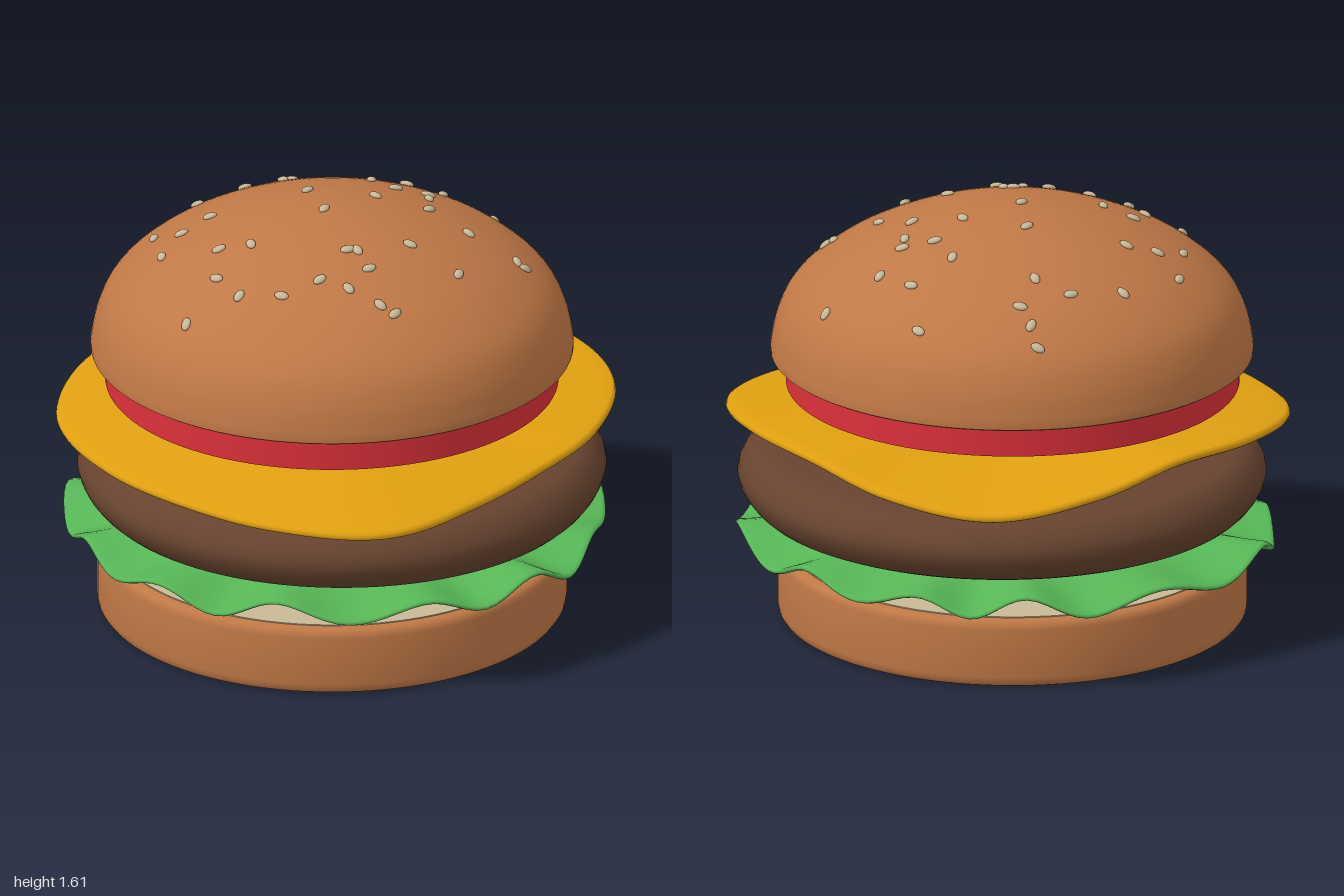
import * as THREE from 'three';
import { mergeVertices, toCreasedNormals } from 'three/addons/utils/BufferGeometryUtils.js';

const flat = (name, color) => {
  const m = new THREE.MeshStandardMaterial({ color });
  m.name = name;
  return m;
};

export function createModel() {
  const model = new THREE.Group();
  model.name = 'burger';
  const bun = flat('toasted bun', 0xc07846);
  const cream = flat('cream crumb and seeds', 0xc8b896);
  const green = flat('lettuce green', 0x56b656);
  const brown = flat('grilled brown', 0x67432f);
  const yellow = flat('cheese yellow', 0xe0a010);
  const red = flat('tomato red', 0xdc303a);

  const add = (name, geometry, material, x = 0, y = 0, z = 0) => {
    const mesh = new THREE.Mesh(geometry, material);
    mesh.name = name;
    mesh.position.set(x, y, z);
    model.add(mesh);
    return mesh;
  };
  const vectors = (list) => list.map(([r, y]) => new THREE.Vector2(r, y));
  const turned = (points) => toCreasedNormals(new THREE.LatheGeometry(points, 96), 0.8);

  // Thin round sheet whose rim and height follow rule(angle, u) -> [radius, y]
  const sheet = (thickness, rule) => {
    const t = thickness / 2;
    const steps = [];
    for (let i = 0; i <= 20; i++) steps.push(i / 20 * 0.985);
    const profile = vectors([
      ...steps.map((u) => [u, -t]), [0.996, -t * 0.6], [1, 0], [0.996, t * 0.6],
      ...steps.reverse().map((u) => [u, t]),
    ]);
    let geo = new THREE.LatheGeometry(profile, 160);
    const p = geo.attributes.position;
    for (let i = 0; i < p.count; i++) {
      const x = p.getX(i), z = p.getZ(i);
      const u = Math.hypot(x, z);
      const angle = u < 1e-6 ? 0 : (Math.atan2(z, x) + Math.PI * 2) % (Math.PI * 2);
      const [radius, y] = rule(angle, u);
      p.setXYZ(i, x * radius, p.getY(i) + y, z * radius);
    }
    geo.deleteAttribute('uv');
    geo.deleteAttribute('normal');
    geo = mergeVertices(geo, 1e-5);
    geo.computeVertexNormals();
    return geo;
  };

  // Bottom bun with its cut face
  add('bottomBun', turned(vectors([
    [0, 0], [0.845, 0], [0.858, 0.006], [0.867, 0.02], [0.87, 0.04],
    [0.87, 0.225], [0.867, 0.242], [0.858, 0.254], [0.845, 0.26], [0, 0.26],
  ])), bun, -0.02, 0, 0.025);
  add('bottomBunCrumb', new THREE.CylinderGeometry(0.825, 0.825, 0.006, 96), cream, -0.02, 0.261, 0.025);

  // Lettuce, flat in the middle and ruffled towards the rim
  add('lettuce', sheet(0.022, (a, u) => {
    const ruffle = -Math.cos(12 * a - 4.4 + 0.5 * Math.sin(3 * a)) * (0.75 + 0.25 * Math.sin(5 * a + 1));
    const f = THREE.MathUtils.smoothstep(u, 0.55, 1);
    const radius = 0.965 + 0.035 * Math.cos(2 * a - 5.2) + 0.015 * Math.cos(7 * a);
    return [radius, 0.388 + f * (-0.052 + 0.045 * ruffle)];
  }), green, -0.02, 0, 0);

  // Patty
  add('patty', turned(vectors([
    [0, 0.43], [0.85, 0.43], [0.885, 0.434], [0.912, 0.446], [0.936, 0.467], [0.958, 0.495],
    [0.973, 0.525], [0.98, 0.555], [0.973, 0.585], [0.958, 0.612], [0.936, 0.638],
    [0.912, 0.656], [0.885, 0.666], [0.85, 0.67], [0, 0.67],
  ])), brown, 0, 0, -0.01);

  // Cheese slice: rounded square, two corners drooping
  const rims = [0.9, 0.95, 1.08, 1.04, 1, 1.02, 1.06, 1.01, 0.955, 1, 1.05, 1.01, 0.965, 1, 1.03, 0.97];
  const drops = [0.74, 0.73, 0.725, 0.73, 0.74, 0.755, 0.785, 0.815, 0.825, 0.77, 0.725, 0.76, 0.815, 0.83, 0.805, 0.77];
  const rim = new THREE.CatmullRomCurve3(
    rims.map((r, i) => new THREE.Vector3(r, drops[i], 0)), true, 'catmullrom', 0.5);
  add('cheese', sheet(0.035, (a, u) => {
    const edge = rim.getPoint(a / (Math.PI * 2));
    const f = Math.pow(u, 1.3);
    return [edge.x, 0.845 + f * (edge.y - 0.845)];
  }), yellow);

  // Tomato slice
  add('tomato', new THREE.CylinderGeometry(0.84, 0.84, 0.12, 96), red, -0.02, 0.96, 0.025);

  // Top bun dome
  const dome = new THREE.SplineCurve(vectors([
    [0.895, 1.05], [0.875, 1.15], [0.83, 1.25], [0.75, 1.335], [0.62, 1.425],
    [0.42, 1.515], [0.2, 1.573], [0, 1.595],
  ])).getPoints(36);
  const cx = -0.025, cz = 0.017;
  add('topBun', turned([...vectors([[0, 1.02], [0.885, 1.02], [0.894, 1.026]]), ...dome]), bun, cx, 0, cz);

  const domeHeight = (r) => {
    const i = Math.max(1, dome.findIndex((p) => p.x <= r));
    const a = dome[i - 1], b = dome[i];
    return a.y + (b.y - a.y) * (a.x - r) / (a.x - b.x);
  };

  // Sesame seeds lying on the dome, as x, z pairs
  const spots = [
    -0.28, -0.69, 0.16, -0.75, -0.11, -0.57, 0.05, -0.58, -0.66, -0.44, -0.59, -0.41, -0.51, -0.39,
    -0.14, -0.39, 0.09, -0.43, 0.13, -0.38, 0, -0.35, 0.56, -0.34, 0.59, -0.35, -0.45, -0.26,
    -0.58, -0.2, 0.03, -0.18, 0.21, -0.27, 0.39, -0.27, -0.2, -0.07, -0.66, -0.01, -0.03, 0.06,
    0.34, 0.03, 0.54, 0, -0.45, 0.2, -0.64, 0.29, -0.5, 0.31, -0.49, 0.45, -0.25, 0.42,
    -0.14, 0.37, 0.2, 0.23, 0.23, 0.21, 0.32, 0.26, 0.32, 0.39, 0.21, 0.42, 0.45, 0.37,
    0.51, 0.36, -0.16, 0.56, -0.02, 0.61, 0.13, 0.55, -0.16, 0.75,
  ];
  const seedGeo = new THREE.SphereGeometry(1, 14, 10).scale(0.028, 0.012, 0.018);
  const up = new THREE.Vector3(0, 1, 0);
  const seeds = new THREE.Group();
  seeds.name = 'sesameSeeds';
  for (let i = 0; i < spots.length; i += 2) {
    const x = spots[i], z = spots[i + 1];
    const dx = x - cx, dz = z - cz, r = Math.hypot(dx, dz);
    const slope = (domeHeight(r + 0.02) - domeHeight(Math.max(0, r - 0.02))) / 0.04;
    const normal = new THREE.Vector3(-slope * dx / r, 1, -slope * dz / r).normalize();
    const seed = new THREE.Mesh(seedGeo, cream);
    seed.name = 'sesameSeed';
    seed.position.set(x, domeHeight(r), z).addScaledVector(normal, 0.004);
    seed.quaternion.setFromUnitVectors(up, normal)
      .multiply(new THREE.Quaternion().setFromAxisAngle(up, i * 2.4));
    seeds.add(seed);
  }
  model.add(seeds);
  return model;
}
